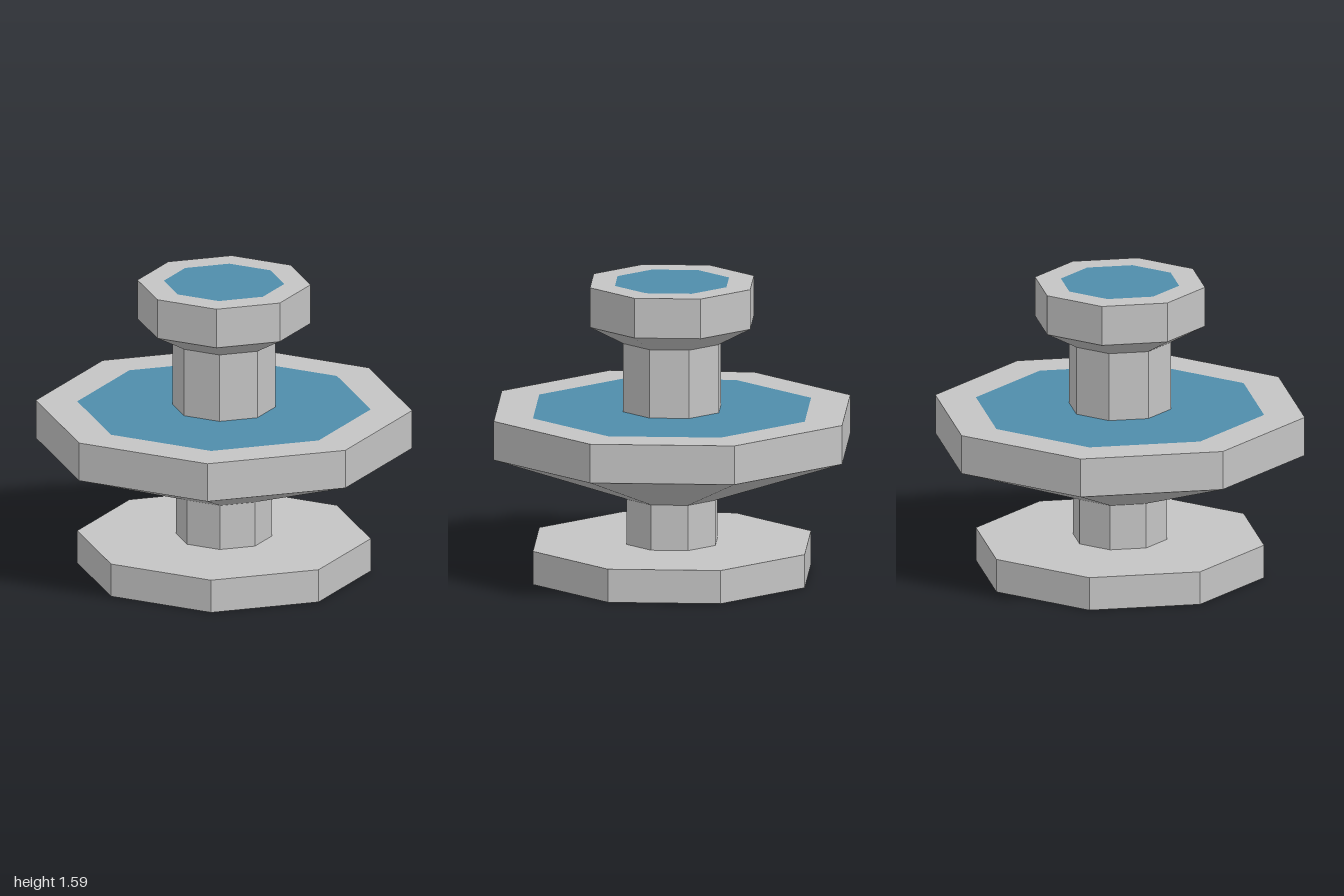
import * as THREE from 'three';

const stone = new THREE.MeshStandardMaterial({ color: 0xc4c4c4, flatShading: true, side: THREE.DoubleSide });
stone.name = 'stone';
const water = new THREE.MeshStandardMaterial({ color: 0x4f8dab, flatShading: true, side: THREE.DoubleSide });
water.name = 'water';

// Eight-sided turned part from [radius, height] pairs, corners on the x and z axes
function turned(name, profile, material) {
  const points = profile.map(([r, y]) => new THREE.Vector2(r, y));
  const mesh = new THREE.Mesh(new THREE.LatheGeometry(points, 8), material);
  mesh.name = name;
  return mesh;
}

export function createModel() {
  const fountain = new THREE.Group();
  fountain.name = 'fountain';
  fountain.add(
    // Hollow plinth, open underneath
    turned('base', [[0.78, 0], [0.78, 0.18], [0.255, 0.18]], stone),
    turned('lowerStem', [[0.255, 0.18], [0.255, 0.425]], stone),
    // Large bowl with flat rim
    turned('lowerBowl', [[0.255, 0.425], [1, 0.69], [1, 0.9], [0.78, 0.9]], stone),
    turned('lowerWater', [[0.78, 0.9], [0.275, 0.9]], water),
    turned('upperStem', [[0.275, 0.9], [0.275, 1.27]], stone),
    // Small bowl with flat rim
    turned('upperBowl', [[0.275, 1.27], [0.46, 1.37], [0.46, 1.585], [0.32, 1.585]], stone),
    turned('upperWater', [[0.32, 1.585], [0, 1.585]], water),
  );
  return fountain;
}
